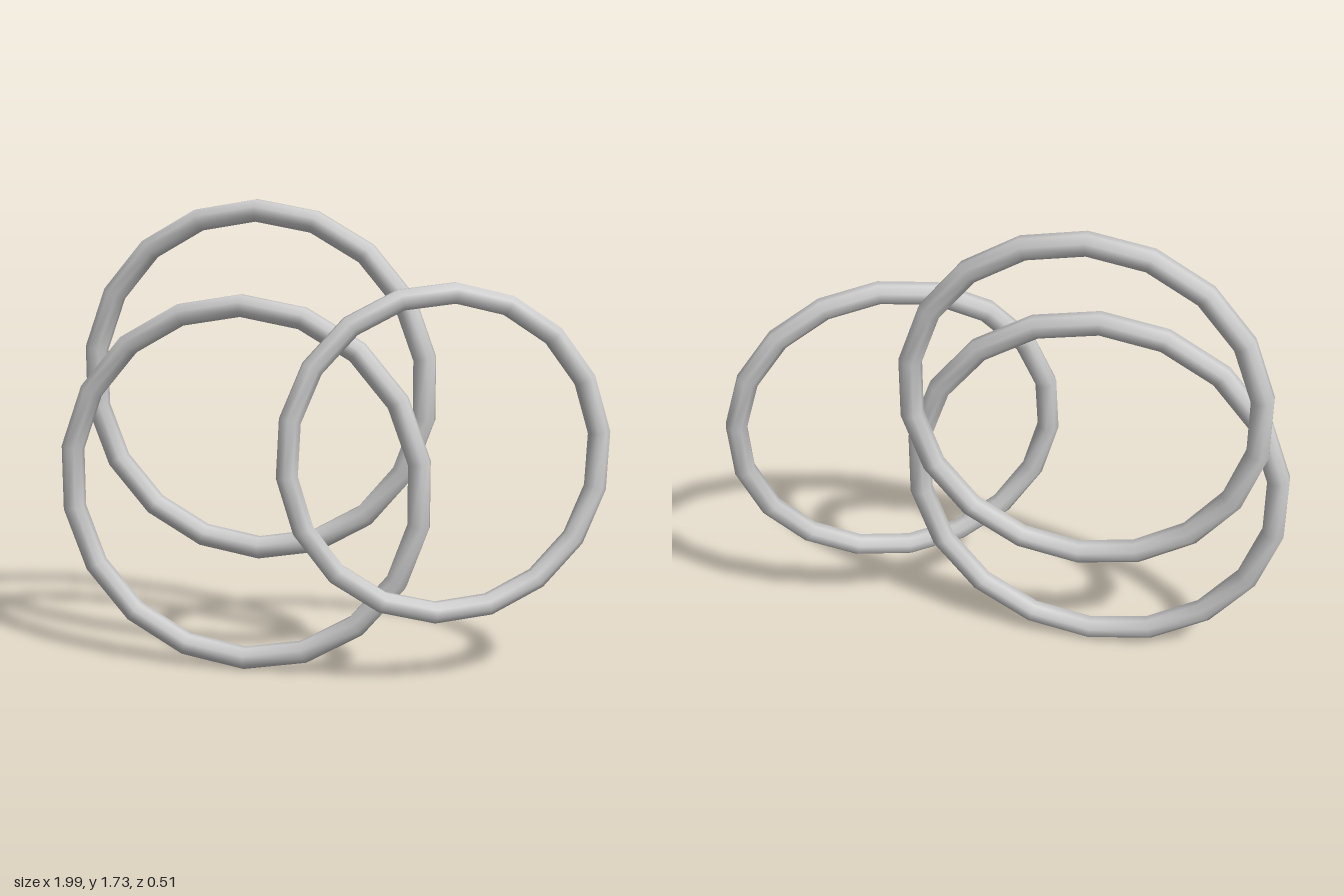
import * as THREE from 'three';
import { mergeVertices } from 'three/addons/utils/BufferGeometryUtils.js';

const SIDES = 18;   // straight runs around each ring
const SECTION = 8;  // corners of the tube's cross-section
const rad = THREE.MathUtils.degToRad;

// Upright ring with a corner at the top; the octagonal tube lies flat side out
function ringGeometry(radius, halfWidth) {
  const corner = halfWidth / Math.cos(Math.PI / SECTION);
  const profile = [];
  for (let i = 0; i <= SECTION; i++) {
    const a = Math.PI + ((i % SECTION) + 0.5) * 2 * Math.PI / SECTION;
    profile.push(new THREE.Vector2(radius + corner * Math.cos(a), corner * Math.sin(a)));
  }
  const lathe = new THREE.LatheGeometry(profile, SIDES);
  lathe.rotateX(-Math.PI / 2);
  // Weld the seams so the shading runs smoothly all the way round
  lathe.deleteAttribute('uv');
  lathe.deleteAttribute('normal');
  const geometry = mergeVertices(lathe, 1e-4);
  geometry.computeVertexNormals();
  return geometry;
}

export function createModel() {
  const group = new THREE.Group();
  group.name = 'linkedRings';
  const material = new THREE.MeshStandardMaterial({ color: 0xcccccc });

  const addRing = (name, radius, halfWidth, position, tilt = [0, 0, 0]) => {
    const ring = new THREE.Mesh(ringGeometry(radius, halfWidth), material);
    ring.name = name;
    ring.position.set(...position);
    ring.rotation.set(...tilt.map(rad), 'YXZ');
    group.add(ring);
  };

  // Two parallel rings, one behind the other, and a turned ring passing through
  addRing('lowerRing', 0.66, 0.039, [-0.312, 0.7, 0]);
  addRing('upperRing', 0.622, 0.039, [-0.272, 1.07, -0.078]);
  addRing('turnedRing', 0.571, 0.037, [0.43, 0.85, 0], [-4.3, 22, -4]);

  return group;
}
